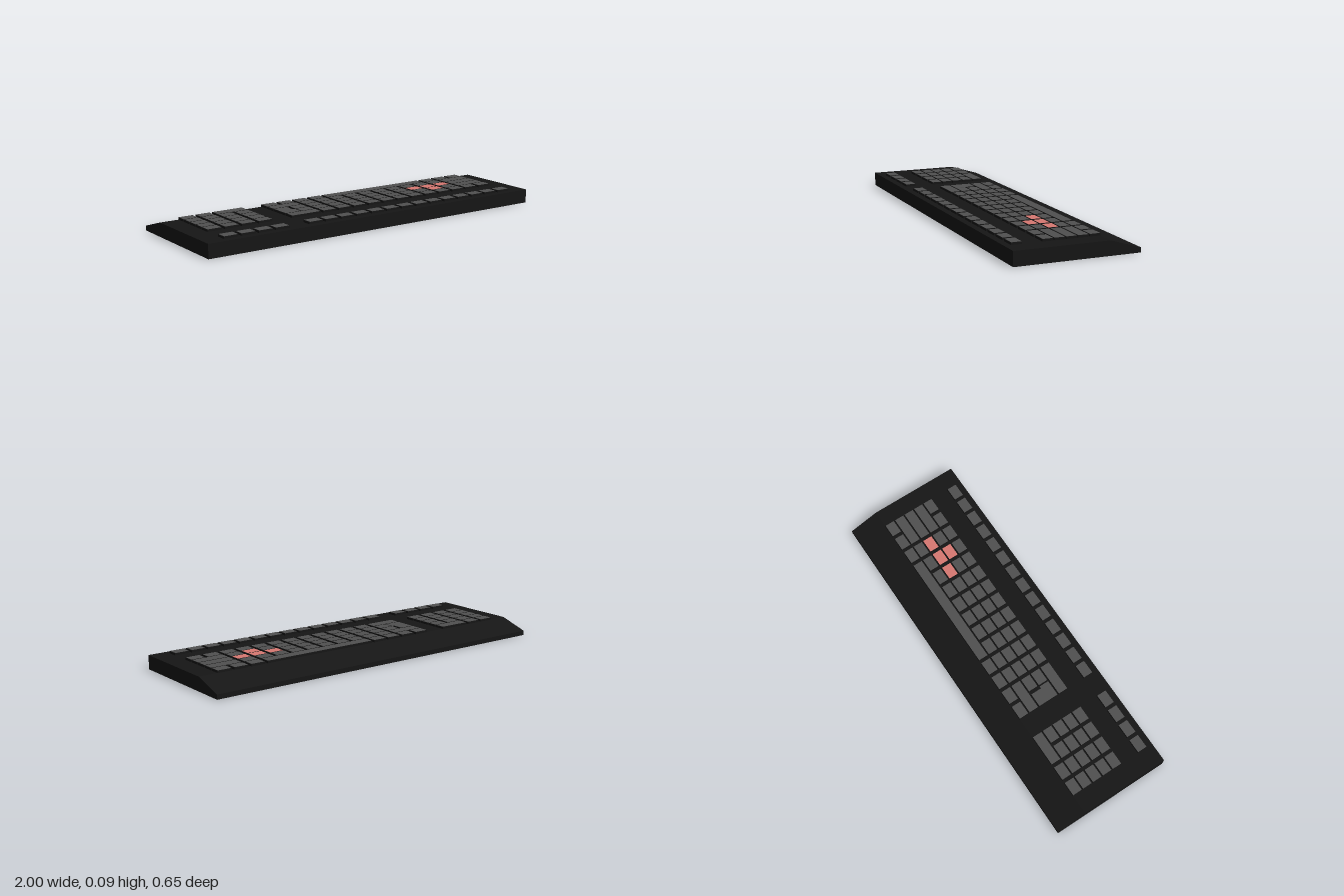
import * as THREE from 'three';

const TOP = 0.074, KEY_TOP = 0.0865;
const PITCH_X = 0.0952, KEY_W = 0.079, PITCH_Z = 0.061, KEY_D = 0.056;
const MAIN_X = -0.418, PAD_X = -0.898, ROW_Z = -0.167, FRONT_ROW_Z = 0.235;

const paint = (color) => new THREE.MeshStandardMaterial({ color, flatShading: true });
const dark = paint(0x161616), grey = paint(0x505050), pink = paint(0xd87872);

function box(name, x0, x1, y0, y1, z0, z1, material) {
  const mesh = new THREE.Mesh(new THREE.BoxGeometry(x1 - x0, y1 - y0, z1 - z0), material);
  mesh.position.set((x0 + x1) / 2, (y0 + y1) / 2, (z0 + z1) / 2);
  mesh.name = name;
  return mesh;
}

// A key: dark sides with a thin coloured cap, spanning some columns and rows
function key(name, blockX, col, z, cols = 1, rows = 1, material = grey) {
  const x0 = blockX + col * PITCH_X, x1 = x0 + (cols - 1) * PITCH_X + KEY_W;
  const z1 = z + (rows - 1) * PITCH_Z + KEY_D, inset = 0.002;
  const group = new THREE.Group();
  group.name = name;
  group.add(
    box('keySides', x0, x1, TOP - 0.004, KEY_TOP - 0.0008, z, z1, dark),
    box('keyCap', x0 + inset, x1 - inset, KEY_TOP - 0.0008, KEY_TOP, z + inset, z1 - inset, material)
  );
  return group;
}

export function createModel() {
  const model = new THREE.Group();
  model.name = 'keyboard';

  // Wedge-ended case, extruded along x from its side profile
  const profile = new THREE.Shape([
    [-0.325, 0], [0.325, 0], [0.325, 0.025], [0.165, TOP], [-0.325, TOP]
  ].map(([a, b]) => new THREE.Vector2(a, b)));
  const caseGeometry = new THREE.ExtrudeGeometry(profile, { depth: 2, bevelEnabled: false });
  caseGeometry.rotateY(Math.PI / 2).translate(-1, 0, 0);
  const body = new THREE.Mesh(caseGeometry, dark);
  body.name = 'case';
  model.add(body);

  // Main block: widths of the keys in each row, counted in columns (0 leaves a gap)
  const ones = (n) => Array(n).fill(1);
  const mainRows = [
    [...ones(4), 7, ...ones(3)],
    [2, ...ones(10), 2],
    [0, ...ones(11), 2],
    [0, ...ones(11), 2],
    [2, ...ones(12)]
  ];
  const pinkKeys = ['2:9', '2:10', '2:11', '3:10'];
  const mainBlock = new THREE.Group();
  mainBlock.name = 'mainKeys';
  mainRows.forEach((widths, row) => {
    let col = 0;
    for (const w of widths) {
      const material = pinkKeys.includes(`${row}:${col}`) ? pink : grey;
      if (w) mainBlock.add(key(w > 3 ? 'spaceBar' : 'key', MAIN_X, col, ROW_Z + row * PITCH_Z, w, 1, material));
      col += w || 1;
    }
  });
  // Tall enter key with a short foot
  const enterZ = ROW_Z + 2 * PITCH_Z;
  mainBlock.add(key('enterKey', MAIN_X, 0, enterZ, 1, 2));
  mainBlock.add(box('enterKeyFoot', MAIN_X + KEY_W - 0.002, MAIN_X + KEY_W + 0.01, TOP - 0.004, KEY_TOP,
    enterZ + PITCH_Z + 0.002, enterZ + PITCH_Z + KEY_D - 0.002, grey));
  model.add(mainBlock);

  // Number pad, with one double-width key
  const numberPad = new THREE.Group();
  numberPad.name = 'numberPad';
  for (let row = 0; row < 5; row++) {
    for (let col = 0; col < (row ? 4 : 3); col++) {
      numberPad.add(key('padKey', PAD_X, col, ROW_Z + row * PITCH_Z, !row && col === 2 ? 2 : 1));
    }
  }
  model.add(numberPad);

  // Separate row of keys along the front edge
  const frontRow = new THREE.Group();
  frontRow.name = 'frontRowKeys';
  for (let i = 0; i < 4; i++) frontRow.add(key('frontRowKey', PAD_X, i, FRONT_ROW_Z));
  for (let i = 0; i < 14; i++) frontRow.add(key('frontRowKey', MAIN_X, i, FRONT_ROW_Z));
  model.add(frontRow);

  return model;
}
